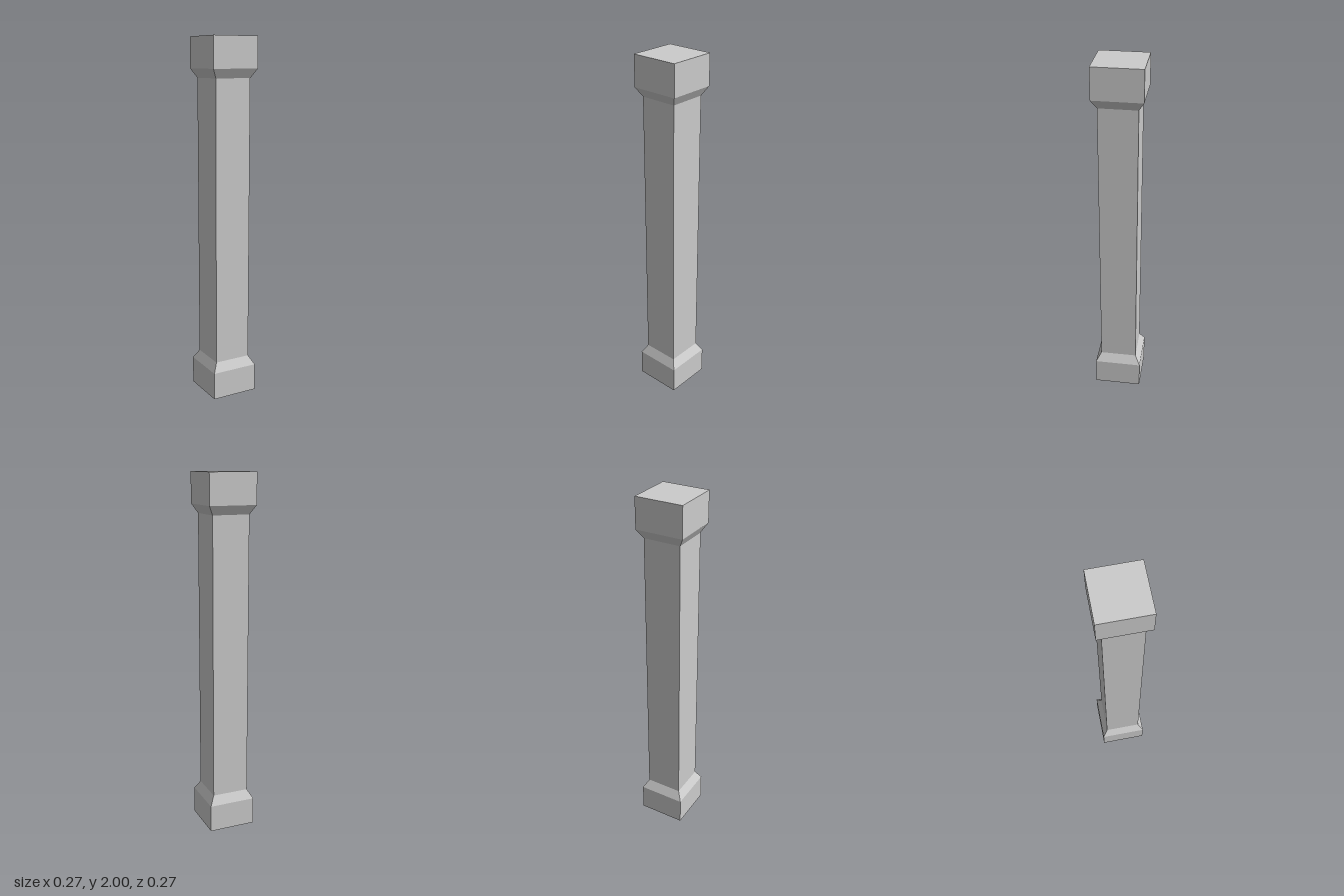
import * as THREE from 'three';

const BLOCK = 0.133; // half width of plinth and cap
const SHAFT = 0.104; // half width of shaft

export function createModel() {
  const pillar = new THREE.Group();
  pillar.name = 'pillar';
  const material = new THREE.MeshStandardMaterial({ color: 0xcccccc, flatShading: true });

  const add = (name, geometry, y) => {
    const mesh = new THREE.Mesh(geometry, material);
    mesh.name = name;
    mesh.position.y = y;
    pillar.add(mesh);
  };

  // Open square section between two heights, tapering from one half width to another
  const section = (name, y0, y1, half0, half1) => {
    const geometry = new THREE.CylinderGeometry(
      half1 * Math.SQRT2, half0 * Math.SQRT2, y1 - y0, 4, 1, true);
    geometry.rotateY(Math.PI / 4);
    add(name, geometry, (y0 + y1) / 2);
  };

  // Solid end blocks
  const block = (name, y0, y1) =>
    add(name, new THREE.BoxGeometry(BLOCK * 2, y1 - y0, BLOCK * 2), (y0 + y1) / 2);

  block('plinth', 0, 0.155);
  section('lowerBevel', 0.155, 0.206, BLOCK, SHAFT);
  section('shaft', 0.206, 1.783, SHAFT, SHAFT);
  section('upperBevel', 1.783, 1.832, SHAFT, BLOCK);
  block('cap', 1.832, 2);

  return pillar;
}
